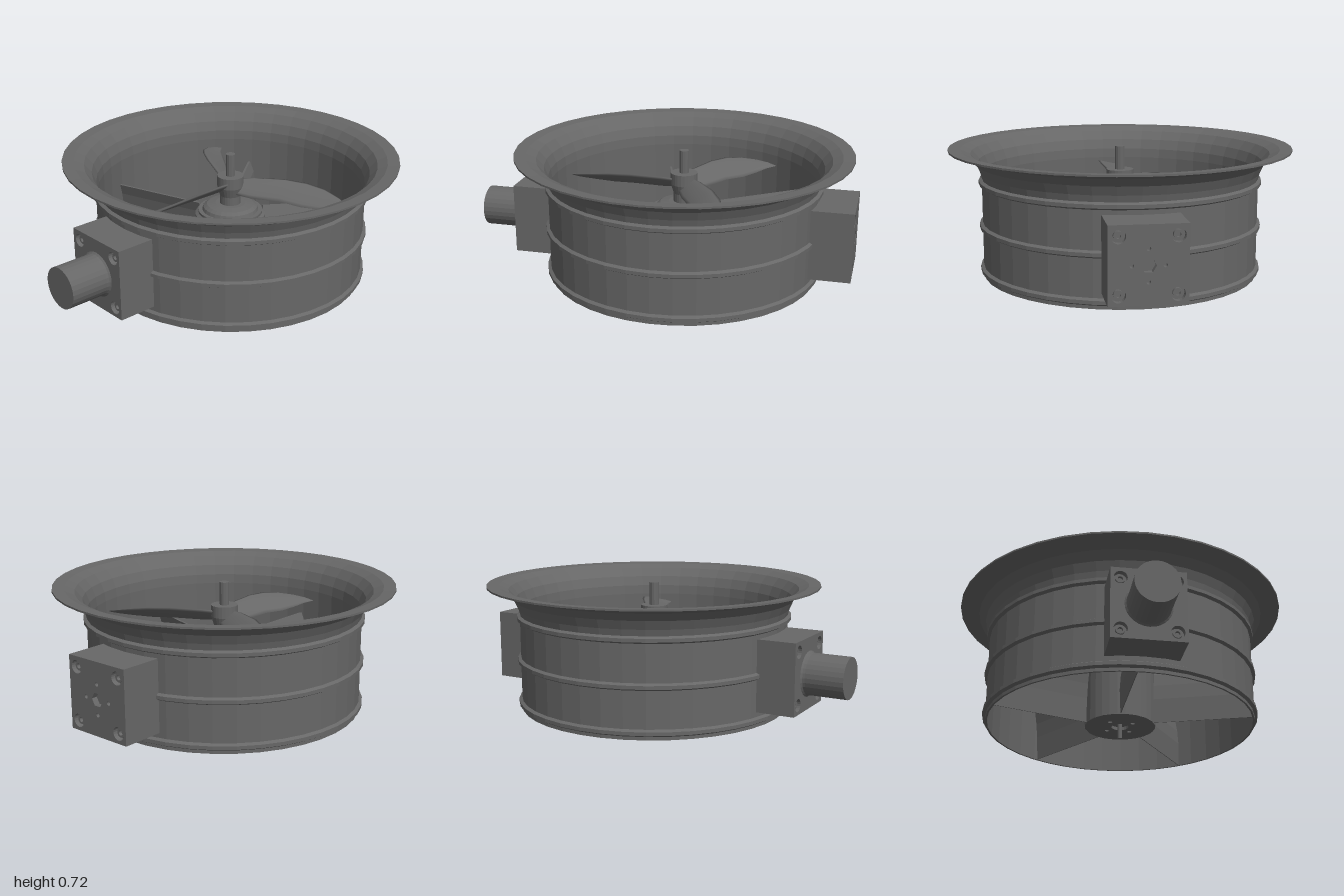
import * as THREE from 'three';

const smooth = new THREE.MeshStandardMaterial({ color: 0x676767 });
const flat = new THREE.MeshStandardMaterial({ color: 0x676767, flatShading: true });
const V = (p) => new THREE.Vector2(p[0], p[1]);

function add(parent, name, geometry, material = flat) {
  const mesh = new THREE.Mesh(geometry, material);
  mesh.name = name;
  parent.add(mesh);
  return mesh;
}

const lathe = (points, sides) => new THREE.LatheGeometry(points.map(V), sides);

const extrude = (shape, depth) =>
  new THREE.ExtrudeGeometry(shape, { depth, bevelEnabled: false, curveSegments: 10 });

function hole(shape, x, y, r) {
  shape.holes.push(new THREE.Path().absarc(x, y, r, 0, Math.PI * 2, true));
}

// Duct shell: ribbed outer wall, flared mouth, inner wall
function ductGeometry() {
  const rib = (y) => [[0.71, y - 0.018], [0.726, y - 0.009], [0.726, y + 0.009], [0.71, y + 0.018]];
  return lathe([
    [0.7, 0.065], [0.71, 0.065],
    ...rib(0.1), ...rib(0.325), ...rib(0.55),
    [0.718, 0.6], [0.738, 0.645], [0.775, 0.685], [0.82, 0.706], [0.877, 0.713],
    [0.877, 0.722], [0.815, 0.718], [0.765, 0.697], [0.727, 0.652], [0.706, 0.6], [0.7, 0.55],
    [0.7, 0.065],
  ], 40);
}

// Propeller blade lofted through lens-shaped sections along +z
function bladeGeometry() {
  // radius, trailing x, leading x, slope of the chord, half thickness
  const stations = [
    [0.03, -0.04, 0.04, 0.75, 0.014],
    [0.12, -0.05, 0.052, 0.75, 0.014],
    [0.28, -0.052, 0.066, 0.68, 0.012],
    [0.4, -0.07, 0.063, 0.62, 0.01],
    [0.5, -0.078, 0.045, 0.52, 0.008],
    [0.59, -0.083, 0.0, 0.42, 0.006],
    [0.635, -0.095, -0.05, 0.34, 0.004],
    [0.652, -0.1, -0.095, 0.32, 0.001],
  ];
  const n = 10, pos = [], index = [];
  stations.forEach(([r, x0, x1, slope, th], i) => {
    for (let j = 0; j < n; j++) {
      const a = (j / n) * Math.PI * 2;
      const x = (x0 + x1) / 2 + ((x1 - x0) / 2) * Math.cos(a);
      pos.push(x, slope * x + th * Math.sin(a), r);
      if (i === stations.length - 1) continue;
      const p = i * n + j, q = i * n + ((j + 1) % n);
      index.push(p, q, q + n, p, q + n, p + n);
    }
  });
  const g = new THREE.BufferGeometry();
  g.setAttribute('position', new THREE.Float32BufferAttribute(pos, 3));
  g.setIndex(index);
  g.computeVertexNormals();
  return g;
}

// Curved stator vane: thin and straight below, bending sideways at the top
function vaneGeometry() {
  const outline = [
    [-0.026, 0.068], [-0.022, 0.068], [-0.014, 0.2], [-0.006, 0.28], [0.006, 0.35], [0.024, 0.41],
    [0.012, 0.41], [-0.012, 0.35], [-0.024, 0.28], [-0.03, 0.2],
  ];
  return extrude(new THREE.Shape(outline.map(V)), 0.522).translate(0, 0, 0.18);
}

// Mounting block on +z: body hugging the duct plus a drilled face plate
function mountBlock(name, outer, drilled) {
  const group = new THREE.Group();
  group.name = name;
  const w = 0.182, y0 = 0.143, h = 0.367, mid = 0.325, plate = 0.03, R = 0.705;
  const face = outer - plate, half = Math.asin(w / R);
  const plan = new THREE.Shape();
  plan.moveTo(-w, -face);
  plan.lineTo(w, -face);
  plan.lineTo(w, -R * Math.cos(half));
  plan.absarc(0, 0, R, -Math.PI / 2 + half, -Math.PI / 2 - half, true);
  plan.closePath();
  add(group, 'blockBody', extrude(plan, h).rotateX(-Math.PI / 2).translate(0, y0, 0));

  const front = new THREE.Shape([[-w, y0], [w, y0], [w, y0 + h], [-w, y0 + h]].map(V));
  for (const x of [-0.133, 0.133]) {
    for (const y of [-0.133, 0.133]) {
      hole(front, x, mid + y, 0.033);
      // Socket screw sunk in the counterbore
      const ring = new THREE.Shape().absarc(x, mid + y, 0.022, 0, Math.PI * 2);
      hole(ring, x, mid + y, 0.012);
      add(group, 'screw', extrude(ring, 0.016).translate(0, 0, face));
    }
  }
  if (drilled) {
    // Hexagonal centre socket and four small holes around it
    const hex = [];
    for (let i = 0; i < 6; i++) {
      const a = (-i * Math.PI) / 3;
      hex.push(new THREE.Vector2(0.036 * Math.cos(a), mid + 0.036 * Math.sin(a)));
    }
    front.holes.push(new THREE.Path(hex));
    for (const [x, y] of [[0.075, 0], [-0.075, 0], [0, 0.075], [0, -0.075]]) {
      hole(front, x, mid + y, 0.01);
    }
  }
  add(group, 'facePlate', extrude(front, plate).translate(0, 0, face));
  return group;
}

export function createModel() {
  const model = new THREE.Group();
  model.name = 'ductedFan';
  const fan = new THREE.Group();
  fan.name = 'fanAssembly';
  fan.position.z = -0.1;
  model.add(fan);

  add(fan, 'duct', ductGeometry());

  // Motor housing with drilled bottom plate
  add(fan, 'motorHousing', lathe([
    [0, 0.085], [0.185, 0.085], [0.188, 0.067], [0.188, 0.385], [0.172, 0.395], [0.172, 0.408],
    [0.15, 0.408], [0.144, 0.425], [0.125, 0.438], [0.08, 0.445], [0, 0.445],
  ], 28));
  const base = new THREE.Shape().absarc(0, 0, 0.187, 0, Math.PI * 2);
  hole(base, 0, 0, 0.045);
  for (let i = 0; i < 4; i++) {
    const a = Math.PI / 4 + (i * Math.PI) / 2;
    hole(base, 0.085 * Math.cos(a), 0.085 * Math.sin(a), 0.012);
  }
  add(fan, 'motorBase', extrude(base, 0.018).rotateX(-Math.PI / 2).translate(0, 0.065, 0));
  add(fan, 'lowerPin', new THREE.CylinderGeometry(0.012, 0.012, 0.1, 12).translate(0, 0.05, 0), smooth);

  // Stator vanes
  const vane = vaneGeometry();
  for (let i = 0; i < 5; i++) {
    add(fan, 'statorVane', vane).rotation.y = (i * Math.PI * 2) / 5;
  }

  // Propeller
  const propeller = new THREE.Group();
  propeller.name = 'propeller';
  fan.add(propeller);
  add(propeller, 'propellerHub', lathe([
    [0.055, 0.44], [0.055, 0.49], [0.07, 0.54], [0.07, 0.6], [0, 0.6],
  ], 24));
  add(propeller, 'shaft', new THREE.CylinderGeometry(0.025, 0.025, 0.12, 12).translate(0, 0.66, 0));
  const blade = bladeGeometry();
  for (let i = 0; i < 3; i++) {
    const mesh = add(propeller, 'blade', blade, smooth);
    mesh.position.y = 0.54;
    mesh.rotation.y = (i * Math.PI * 2) / 3;
  }

  // Mounting blocks front and back, with a round stub on the front one
  const frontBlock = mountBlock('frontMount', 0.885, false);
  fan.add(frontBlock);
  add(frontBlock, 'stub', lathe([
    [0.116, 0.885], [0.108, 0.893], [0.106, 0.905], [0.106, 1.1], [0, 1.1],
  ], 28).rotateX(Math.PI / 2).translate(0, 0.325, 0));
  const backBlock = mountBlock('backMount', 0.9, true);
  backBlock.rotation.y = Math.PI;
  fan.add(backBlock);

  return model;
}
